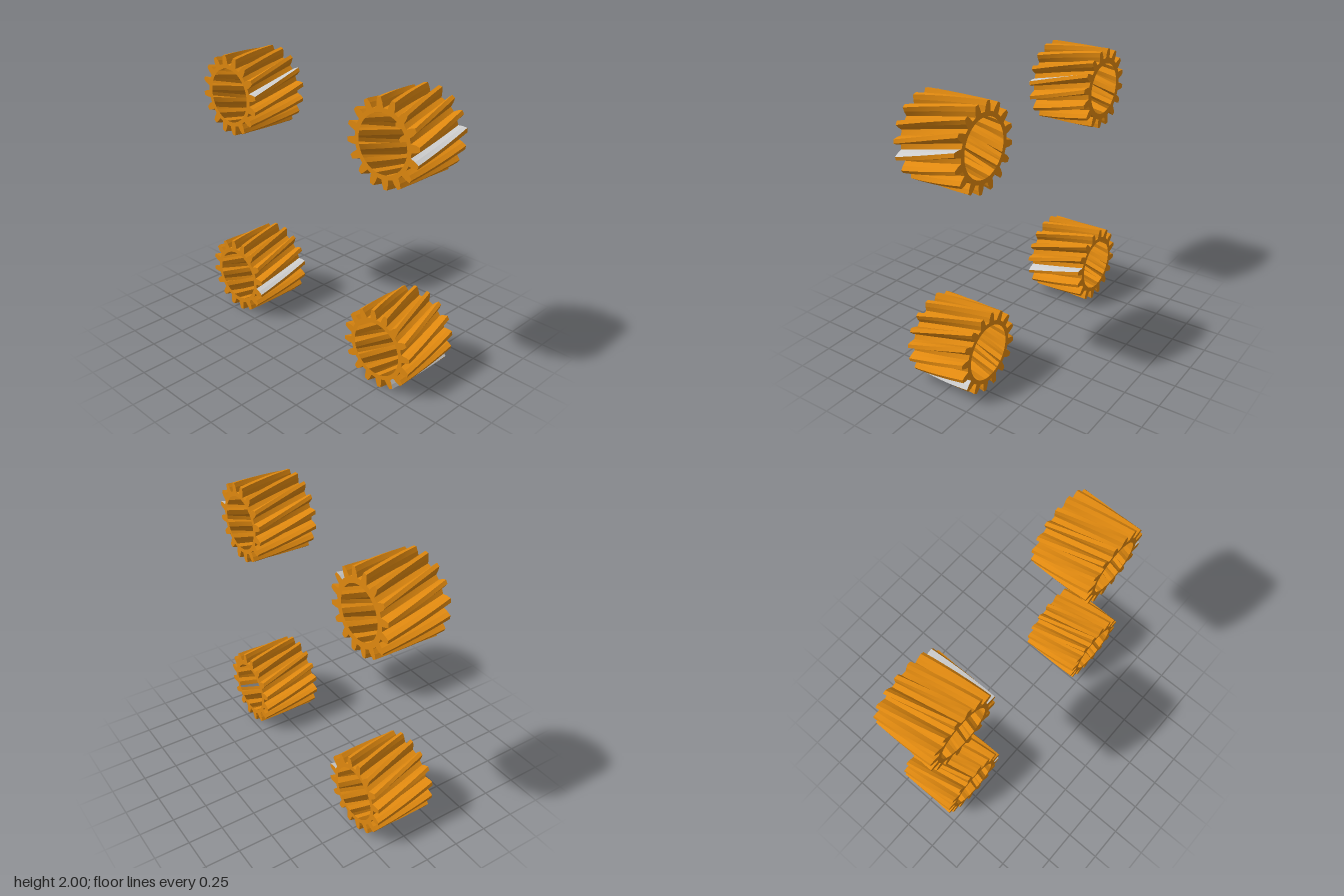
import * as THREE from 'three';

const TEETH = 16, TIP = 0.285, MID = 0.256, ROOT = 0.222, BORE = 0.191, HALF = 0.225;
const PITCH = 360 / TEETH, TWIST = 25, STEPS = 8;
const rad = THREE.MathUtils.degToRad;

const brass = new THREE.MeshStandardMaterial({ color: 0xdf880f, side: THREE.DoubleSide });
const grey = new THREE.MeshStandardMaterial({ color: 0xcccccc, side: THREE.DoubleSide });

// One tooth space, counter-clockwise: flank, floor, flank, then the next tooth's tip
const SPACE = [[TIP, -8.6], [MID, -6.2], [ROOT, -4.4], [ROOT, 4.4], [MID, 6.2], [TIP, 8.6], [TIP, PITCH - 8.6]];

// Twisted strips that follow a list of [radius, degrees] points along the gear
function helicalStrip(points, offset) {
  const pos = [], idx = [];
  for (let s = 0; s < points.length - 1; s++) {
    const base = pos.length / 3;
    for (let k = 0; k <= STEPS; k++) {
      const t = k / STEPS;
      for (const [r, deg] of [points[s], points[s + 1]]) {
        const a = rad(deg + offset + TWIST * t);
        pos.push(r * Math.cos(a), r * Math.sin(a), HALF - 2 * HALF * t);
      }
      if (k < STEPS) {
        const i = base + 2 * k;
        idx.push(i, i + 3, i + 1, i, i + 2, i + 3);
      }
    }
  }
  const g = new THREE.BufferGeometry();
  g.setAttribute('position', new THREE.Float32BufferAttribute(pos, 3));
  g.setIndex(idx);
  g.computeVertexNormals();
  return g;
}

// Flat toothed ring closing one end
function endFace(bore) {
  const pts = [];
  for (let i = 0; i < TEETH; i++) {
    for (const [r, deg] of SPACE.slice(0, -1)) {
      const a = rad(deg + i * PITCH);
      pts.push(new THREE.Vector2(r * Math.cos(a), r * Math.sin(a)));
    }
  }
  const shape = new THREE.Shape(pts);
  shape.holes.push(new THREE.Path().absarc(0, 0, bore, 0, Math.PI * 2, true));
  return new THREE.ShapeGeometry(shape, 32);
}

function part(group, name, geometry, material) {
  const mesh = new THREE.Mesh(geometry, material);
  mesh.name = name;
  group.add(mesh);
  return mesh;
}

// Hollow helical gear with one grey tooth flank
function helicalGear(name, greySpace, backBore) {
  const gear = new THREE.Group();
  gear.name = name;
  const phase = -4;
  for (let i = 0; i < TEETH; i++) {
    const offset = phase + i * PITCH;
    const marked = i === (greySpace + TEETH) % TEETH;
    part(gear, 'toothFlank', helicalStrip(SPACE.slice(0, 3), offset), marked ? grey : brass);
    part(gear, 'toothSpace', helicalStrip(SPACE.slice(2), offset), brass);
  }
  const front = part(gear, 'frontFace', endFace(BORE), brass);
  front.position.z = HALF;
  front.rotation.z = rad(phase);
  // The back face is turned over, so its outline is mirrored back by scale
  const backGeometry = endFace(backBore);
  const back = part(gear, 'backFace', backGeometry, brass);
  backGeometry.rotateZ(rad(phase + TWIST));
  const index = backGeometry.index.array;
  for (let i = 0; i < index.length; i += 3) [index[i], index[i + 1]] = [index[i + 1], index[i]];
  backGeometry.computeVertexNormals();
  back.position.z = -HALF;
  return gear;
}

export function createModel() {
  const model = new THREE.Group();
  model.name = 'helicalGearSet';
  const layout = [
    ['upperRightGear', -0.715, 1.715, 1, 0.181],
    ['upperLeftGear', 0.715, 1.715, 0, BORE],
    ['lowerRightGear', -0.715, 0.285, 0, BORE],
    ['lowerLeftGear', 0.715, 0.285, -2, BORE],
  ];
  for (const [name, x, y, greySpace, backBore] of layout) {
    const gear = helicalGear(name, greySpace, backBore);
    gear.position.set(x, y, 0);
    model.add(gear);
  }
  return model;
}
